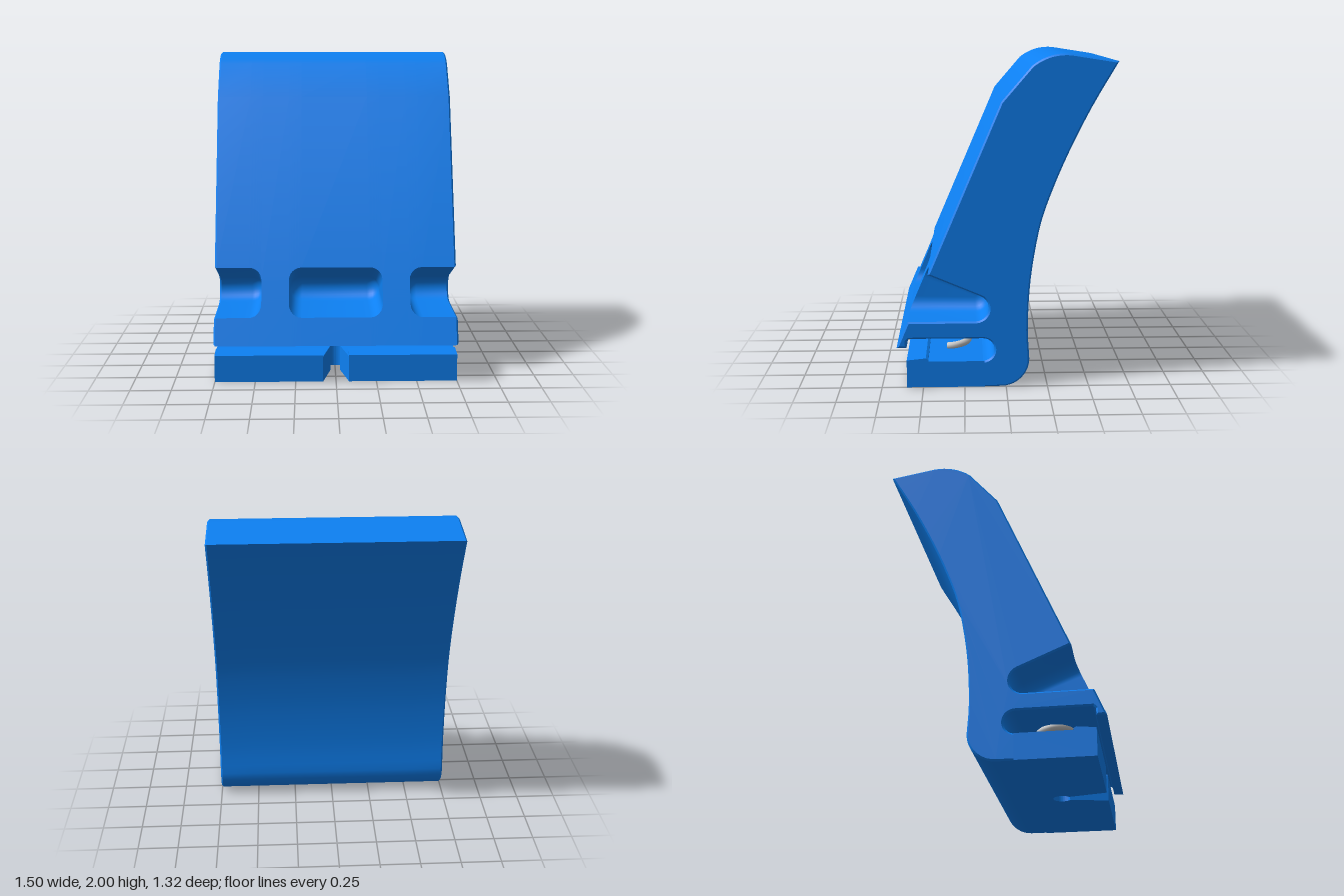
import * as THREE from 'three';
import { toCreasedNormals } from 'three/addons/utils/BufferGeometryUtils.js';

const blue = new THREE.MeshStandardMaterial({ color: 0x0d80f2 });
const grey = new THREE.MeshStandardMaterial({ color: 0xcccccc });
const HALF = 0.75, BEVEL = 0.01, ROUND = 0.078, ARC = 12;

const arc = (cz, cy, r, a0, a1, n) => Array.from({ length: n + 1 }, (_, i) => {
  const a = THREE.MathUtils.degToRad(a0 + (a1 - a0) * i / n);
  return [cz + r * Math.cos(a), cy + r * Math.sin(a)];
});

// Wedge-shaped pocket cut into the sloping front, shrunk by d (points are [z, y])
function pocket(d) {
  const r = 0.081 - d, slope = 0.42, front = 2.34;
  const pts = arc(0.185, 0.486, r, 112.8, 270, ARC);
  const [tz, ty] = pts[0], by = pts[ARC][1];
  const onFront = (y) => 0.47 + (0.69 - y) / front;
  const mz = (0.47 + (0.69 - ty + slope * tz) / front) / (1 + slope / front);
  return [[mz, ty + slope * (mz - tz)], ...pts, [onFront(by), by]];
}

// Pocket points flattened onto the front face
function closedPocket() {
  const p = pocket(ROUND), a = p[0], b = p[p.length - 1];
  return p.map((_, i) => {
    const t = i / (p.length - 1);
    return [a[0] + (b[0] - a[0]) * t, a[1] + (b[1] - a[1]) * t];
  });
}

// Side profile: front slope, hook, snap slot, rounded heel, curved back, top
const backCurve = new THREE.CatmullRomCurve3([
  [-0.14, 0.17], [-0.13, 0.35], [-0.14, 0.6], [-0.165, 0.8], [-0.21, 1.02],
  [-0.28, 1.22], [-0.37, 1.43], [-0.5, 1.69], [-0.655, 1.955],
].map(([z, y]) => new THREE.Vector3(z, y, 0))).getPoints(24).map((p) => [p.x, p.y]);
const crown = new THREE.CubicBezierCurve(
  new THREE.Vector2(-0.38, 1.998), new THREE.Vector2(-0.3, 2.006),
  new THREE.Vector2(-0.22, 1.985), new THREE.Vector2(-0.15, 1.93),
).getPoints(8).map((p) => [p.x, p.y]);

const profile = (mouth) => [
  [0.03, 1.72], ...mouth,
  [0.66, 0.245], [0.6, 0.245], [0.6, 0.285], [0.585, 0.3],
  ...arc(0.14, 0.23, 0.07, 90, 270, 14),
  [0.14, 0], ...arc(0.03, 0.17, 0.17, 270, 180, 10).slice(0, -1),
  ...backCurve, ...crown,
];

// Moves a closed outline inward for the narrow bevel at each side
function insetOutline(pts, d) {
  const n = pts.length;
  const normal = (a, b) => new THREE.Vector2(b[1] - a[1], a[0] - b[0]).normalize();
  return pts.map((p, i) => {
    const n0 = normal(pts[(i + n - 1) % n], p), n1 = normal(p, pts[(i + 1) % n]);
    const m = n0.clone().add(n1).normalize(), k = d / Math.max(0.5, m.dot(n0));
    return [p[0] + m.x * k, p[1] + m.y * k];
  });
}

// Cross-sections along x: centre pocket, rib, side pocket, bevelled end
function crossSections() {
  const half = [];
  const steps = Array.from({ length: 7 }, (_, i) => i / 6 * Math.PI / 2);
  const round = (x, dir, phi) => half.push(
    [x + dir * ROUND * (1 - Math.cos(phi)), profile(pocket(ROUND * (1 - Math.sin(phi))))]);
  [...steps].reverse().forEach((s) => round(0.29, -1, s));
  half.push([0.29, profile(closedPocket())], [0.46, profile(closedPocket())]);
  steps.forEach((s) => round(0.46, 1, s));
  const full = profile(pocket(0));
  half.push([HALF - BEVEL, full], [HALF, insetOutline(full, BEVEL)]);
  return [...half.map(([x, p]) => [-x, p]).reverse(), ...half];
}

function bodyGeometry() {
  const pos = [], sections = crossSections();
  const a = new THREE.Vector3(), b = new THREE.Vector3();
  const tri = (p, q, r) => {
    a.subVectors(q, p); b.subVectors(r, p);
    if (a.cross(b).length() > 1e-9) pos.push(...p, ...q, ...r);
  };
  const rings = sections.map(([x, pts]) => pts.map(([z, y]) => new THREE.Vector3(x, y, z)));
  for (let s = 0; s + 1 < rings.length; s++) {
    const A = rings[s], B = rings[s + 1];
    for (let i = 0; i < A.length; i++) {
      const j = (i + 1) % A.length;
      tri(A[i], A[j], B[i]);
      tri(A[j], B[j], B[i]);
    }
  }
  // Side caps
  const first = rings[0], last = rings[rings.length - 1];
  const outline = last.map((p) => new THREE.Vector2(p.z, p.y));
  for (const [i, j, k] of THREE.ShapeUtils.triangulateShape(outline, [])) {
    const area = THREE.ShapeUtils.area([outline[i], outline[j], outline[k]]);
    const [q, r] = area < 0 ? [j, k] : [k, j];
    tri(last[i], last[q], last[r]);
    tri(first[i], first[r], first[q]);
  }
  const g = new THREE.BufferGeometry();
  g.setAttribute('position', new THREE.Float32BufferAttribute(pos, 3));
  return toCreasedNormals(g, 0.5);
}

// Lower jaw with a tapered keyhole slot from the front
function jawGeometry() {
  const s = new THREE.Shape(), r = 0.055, w = 0.03, dz = Math.sqrt(r * r - w * w);
  s.moveTo(-HALF, -0.6);
  s.lineTo(-0.08, -0.6);
  s.lineTo(-w, -0.32 - dz);
  s.absarc(0, -0.32, r, Math.atan2(-dz, -w), Math.atan2(-dz, w), true);
  s.lineTo(0.08, -0.6);
  s.lineTo(HALF, -0.6);
  s.lineTo(HALF, -0.13);
  s.lineTo(-HALF, -0.13);
  const g = new THREE.ExtrudeGeometry(s, { depth: 0.16, bevelEnabled: false, curveSegments: 24 });
  return toCreasedNormals(g.rotateX(-Math.PI / 2), 0.5);
}

// Small ramped catch on top of the lower jaw, one side of the slot
function catchGeometry() {
  const s = new THREE.Shape([[-0.6, 0.155], [-0.47, 0.155], [-0.47, 0.17], [-0.485, 0.18], [-0.6, 0.168]]
    .map(([z, y]) => new THREE.Vector2(z, y)));
  return new THREE.ExtrudeGeometry(s, { depth: HALF - 0.08, bevelEnabled: false })
    .rotateY(Math.PI / 2).translate(0.08, 0, 0);
}

class Helix extends THREE.Curve {
  getPoint(t, target = new THREE.Vector3()) {
    const turn = -0.3 + 1.75 * t, a = turn * Math.PI * 2;
    return target.set(-0.098 * Math.sin(a), 0.195 + 0.075 * turn, -0.098 * Math.cos(a));
  }
}

export function createModel() {
  const model = new THREE.Group();
  const add = (name, geometry, material) => {
    const mesh = new THREE.Mesh(geometry, material);
    mesh.name = name;
    model.add(mesh);
    return mesh;
  };
  add('body', bodyGeometry(), blue);
  add('lowerJaw', jawGeometry(), blue);
  add('leftCatch', catchGeometry(), blue);
  add('rightCatch', catchGeometry().translate(-HALF - 0.08, 0, 0), blue);
  const coil = new THREE.TubeGeometry(new Helix(), 90, 0.022, 12);
  for (const [name, x] of [['leftSpring', 0.375], ['rightSpring', -0.375]]) {
    add(name, coil, grey).position.set(x, 0, 0.325);
  }
  return model;
}
